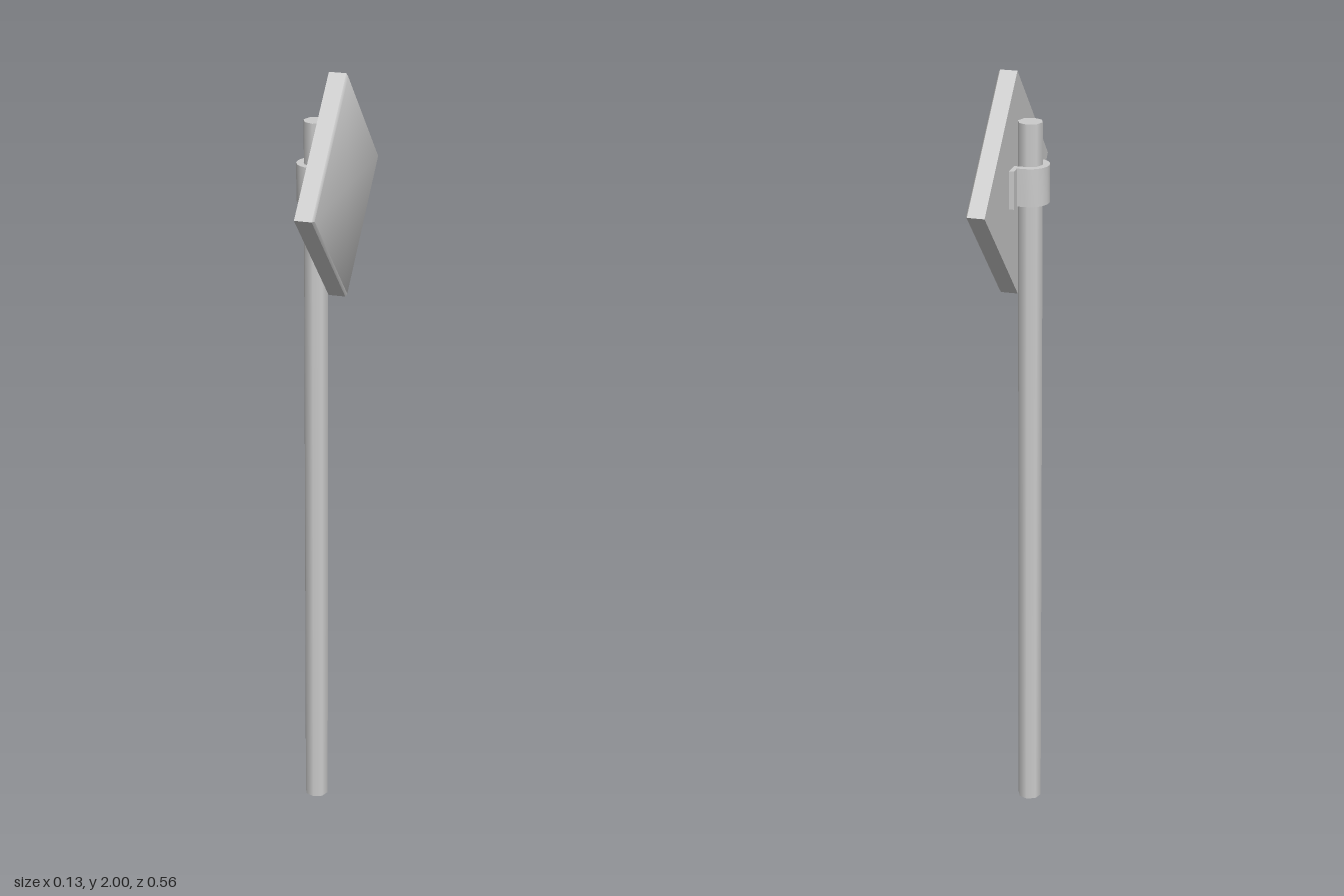
import * as THREE from 'three';
import { toCreasedNormals } from 'three/addons/utils/BufferGeometryUtils.js';

const POLE_X = -0.017;

export function createModel() {
  const group = new THREE.Group();
  const material = new THREE.MeshStandardMaterial({ color: 0xcccccc });
  const add = (name, geometry) => {
    const mesh = new THREE.Mesh(geometry, material);
    mesh.name = name;
    group.add(mesh);
    return mesh;
  };

  // Eight-sided pole
  add('pole', new THREE.CylinderGeometry(0.031, 0.031, 1.88, 8)).position.set(POLE_X, 0.94, 0);

  // Diamond plate: four-sided turned profile, bevelled on its +x face
  const profile = [[0, 0.015], [0.281, 0.015], [0.281, 0.058], [0.273, 0.063], [0, 0.063]]
    .map(([r, h]) => new THREE.Vector2(r, h));
  const plate = new THREE.LatheGeometry(profile, 4).rotateZ(-Math.PI / 2);
  add('signPlate', toCreasedNormals(plate, 0.75)).position.y = 1.72;

  // U-shaped clamp strap with two flanges against the plate
  const strap = new THREE.Shape();
  strap.moveTo(0.015, 0.03);
  strap.lineTo(0.015, 0.075);
  strap.lineTo(0.003, 0.075);
  strap.lineTo(0.003, 0.048);
  strap.absarc(POLE_X, 0, 0.048, Math.PI / 2, Math.PI * 1.5, false);
  strap.lineTo(0.003, -0.048);
  strap.lineTo(0.003, -0.075);
  strap.lineTo(0.015, -0.075);
  strap.lineTo(0.015, -0.03);
  strap.absarc(POLE_X, 0, 0.03, Math.PI * 1.5, Math.PI / 2, true);
  const clamp = new THREE.ExtrudeGeometry(strap, { depth: 0.095, bevelEnabled: false, curveSegments: 5 });
  clamp.rotateX(Math.PI / 2);
  add('clamp', toCreasedNormals(clamp, 0.7)).position.y = 1.775;

  return group;
}
